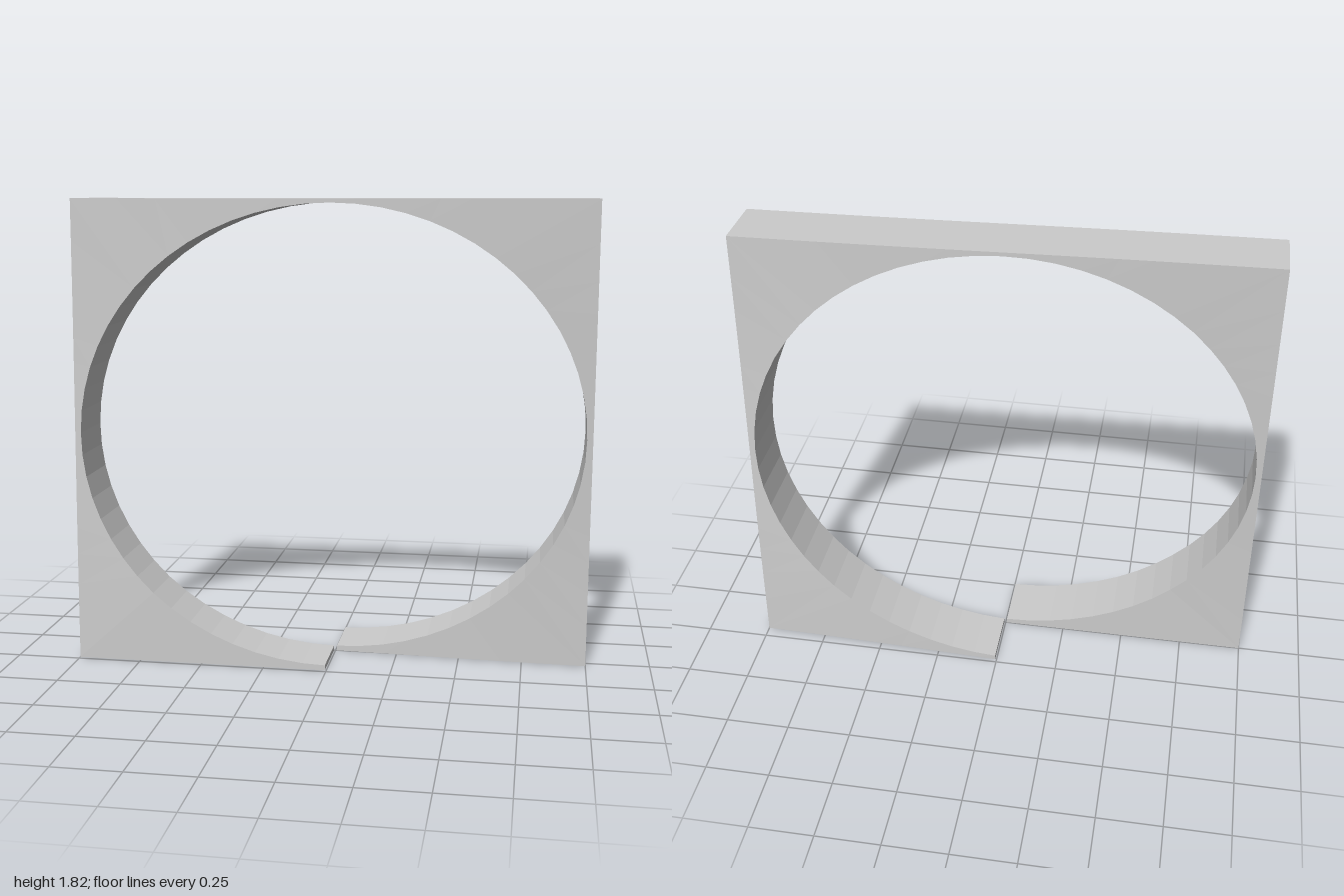
import * as THREE from 'three';

const HALF_W = 1, HEIGHT = 1.815, DEPTH = 0.235; // outer frame
const RX = 0.977, RY = 0.89, CY = 0.91;          // round opening
const STEPS = 64, GAP = 0.006;

// Front z along the turn: bottom cut, four corners, bottom cut again
const FRONT_Z = [[0, 0.235], [1, 0.235], [3, 0.177], [5, 0.113], [7, 0.033], [8, 0]];

function frontZ(e) {
  const i = Math.max(1, FRONT_Z.findIndex(([k]) => e <= k));
  const [e0, z0] = FRONT_Z[i - 1], [e1, z1] = FRONT_Z[i];
  return THREE.MathUtils.mapLinear(e, e0, e1, z0, z1);
}

// Cross-section of the band: inner front, outer front, outer back, inner back
function section(i) {
  const t = (i / STEPS) * Math.PI * 2;
  const sx = -Math.sin(t), sy = -Math.cos(t);
  const m = Math.max(Math.abs(sx), Math.abs(sy));
  let xi = sx * RX, xo = (sx / m) * HALF_W;
  if (i === 0) xi = xo = -GAP;
  if (i === STEPS) xi = xo = GAP;
  const yi = CY + sy * RY;
  const yo = HEIGHT / 2 + (sy / m) * HEIGHT / 2;
  const z = frontZ((i / STEPS) * 8);
  return [[xi, yi, z], [xo, yo, z], [xo, yo, z - DEPTH], [xi, yi, z - DEPTH]];
}

function splitFrameGeometry() {
  const pos = [];
  const quad = (a, b, c, d) => pos.push(...a, ...b, ...c, ...a, ...c, ...d);
  for (let i = 0; i < STEPS; i++) {
    const p = section(i), q = section(i + 1);
    for (let k = 0; k < 4; k++) {
      const n = (k + 1) % 4;
      quad(p[k], q[k], q[n], p[n]);
    }
  }
  // End faces at the cut
  quad(...section(0));
  quad(...section(STEPS).reverse());
  const g = new THREE.BufferGeometry();
  g.setAttribute('position', new THREE.Float32BufferAttribute(pos, 3));
  g.computeVertexNormals();
  return g;
}

export function createModel() {
  const group = new THREE.Group();
  group.name = 'splitSquareRing';
  const material = new THREE.MeshStandardMaterial({ color: 0xcccccc, flatShading: true });
  const frame = new THREE.Mesh(splitFrameGeometry(), material);
  frame.name = 'helicalFrame';
  group.add(frame);
  return group;
}
